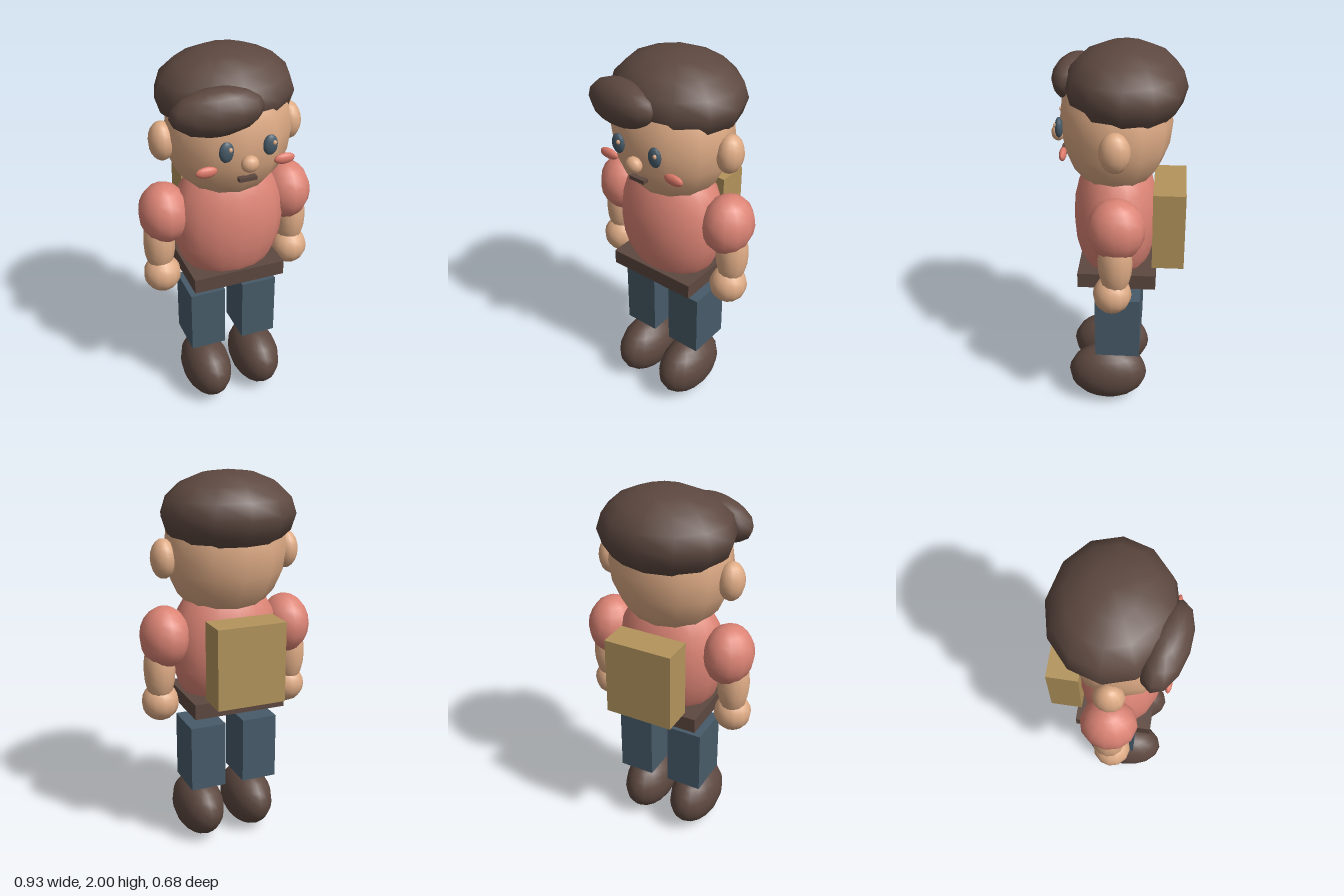
import * as THREE from 'three';

const mat = (name, color) => {
  const m = new THREE.MeshStandardMaterial({ color });
  m.name = name;
  return m;
};

export function createModel() {
  const model = new THREE.Group();
  model.name = 'backpackBoy';

  const skin = mat('skin', 0xdeab85);
  const brown = mat('darkBrown', 0x5d4840);
  const red = mat('shirtRed', 0xdc8475);
  const blush = mat('blush', 0xdf7b6b);
  const blue = mat('denimBlue', 0x475b69);
  const tan = mat('packTan', 0xb3945c);

  const add = (name, geometry, material, pos) => {
    const mesh = new THREE.Mesh(geometry, material);
    mesh.name = name;
    mesh.position.set(...pos);
    model.add(mesh);
    return mesh;
  };

  // Smooth low-poly ellipsoid
  const ball = (name, material, pos, radii, w = 12, h = 8) => {
    const mesh = add(name, new THREE.SphereGeometry(1, w, h), material, pos);
    mesh.scale.set(...radii);
    return mesh;
  };
  const box = (name, material, pos, size) =>
    add(name, new THREE.BoxGeometry(...size), material, pos);

  // Head, hair and fringe
  ball('head', skin, [0, 1.61, 0.015], [0.32, 0.36, 0.28], 12, 10);
  ball('hair', brown, [0, 1.79, -0.03], [0.348, 0.21, 0.302]);
  const fringe = ball('fringe', brown, [-0.133, 1.79, 0.225], [0.222, 0.115, 0.105]);
  fringe.rotation.set(0, -0.2, 0.1);

  // Face
  ball('nose', skin, [0, 1.54, 0.305], [0.045, 0.042, 0.035]);
  box('mouth', brown, [0, 1.45, 0.275], [0.09, 0.02, 0.03]);

  // Torso, belt and pack
  ball('shirt', red, [0, 1.1, 0.015], [0.295, 0.38, 0.22], 16, 12);
  box('belt', brown, [0, 0.825, 0], [0.495, 0.08, 0.4]);
  box('backpack', tan, [0, 1.083, -0.26], [0.362, 0.415, 0.164]);

  // Mirrored parts
  for (const [side, s] of [['left', 1], ['right', -1]]) {
    ball(side + 'Ear', skin, [s * 0.332, 1.58, 0], [0.065, 0.1, 0.076], 12, 10);
    ball(side + 'Eye', blue, [s * 0.11, 1.61, 0.285], [0.037, 0.052, 0.02]);
    ball(side + 'EyeGlint', skin, [s * 0.11 + 0.014, 1.626, 0.302], [0.01, 0.012, 0.008]);
    ball(side + 'Cheek', blush, [s * 0.198, 1.51, 0.258], [0.055, 0.028, 0.018]);

    ball(side + 'Sleeve', red, [s * 0.335, 1.18, -0.005], [0.13, 0.16, 0.145], 12, 10);
    ball(side + 'Forearm', skin, [s * 0.368, 1.01, -0.003], [0.083, 0.18, 0.086], 12, 10);
    ball(side + 'Hand', skin, [s * 0.363, 0.828, 0.012], [0.098, 0.1, 0.097], 12, 10);

    box(side + 'Leg', blue, [s * 0.146, 0.523, -0.003], [0.192, 0.355, 0.236]);
    ball(side + 'Shoe', brown, [s * 0.146, 0.168, 0.055], [0.132, 0.164, 0.215], 16, 12);
  }

  return model;
}
